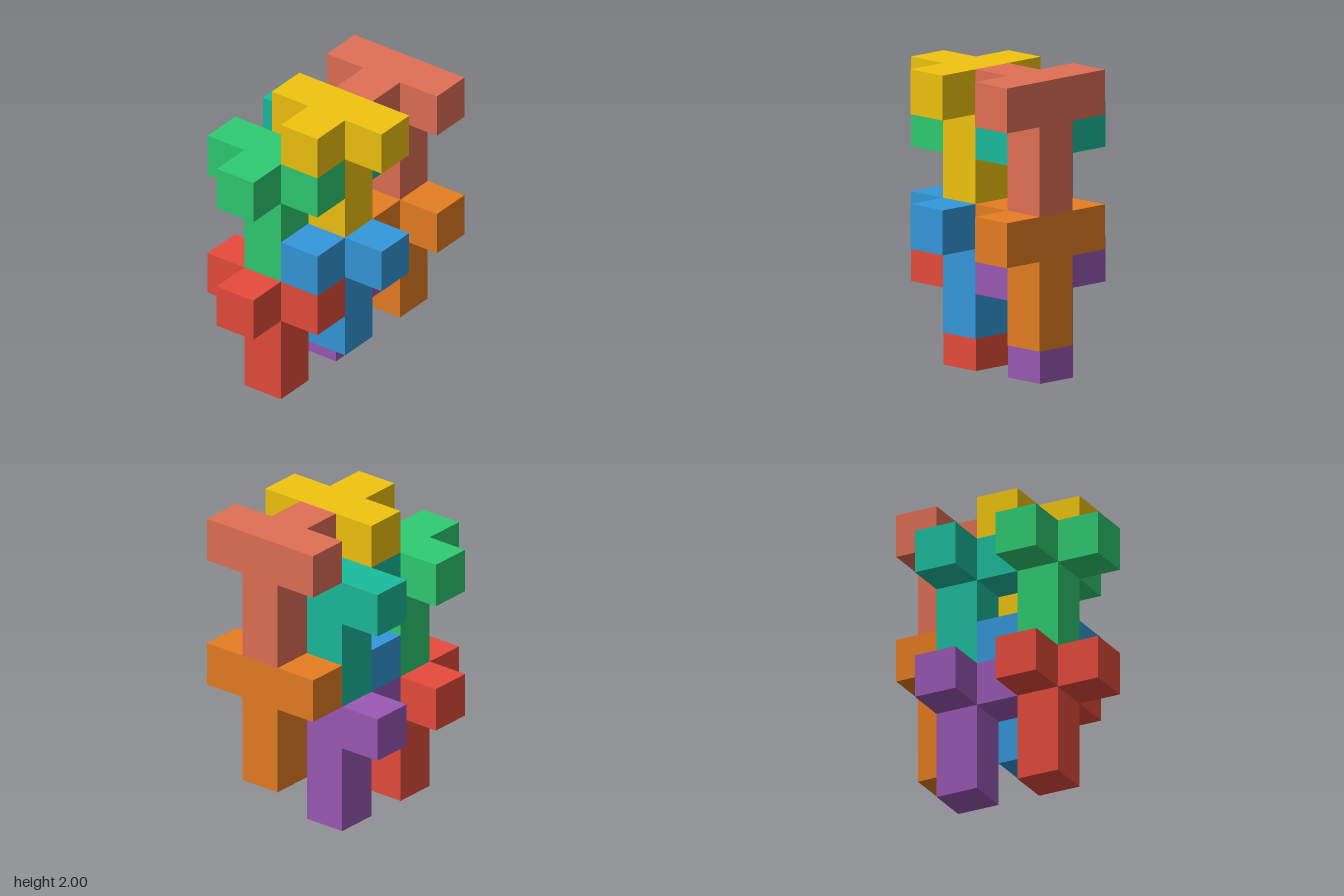
import * as THREE from 'three';

const U = 2 / 7; // one cube cell

// T-shaped head, seen from above: a bar along z with one arm toward -x
function headGeometry() {
  const h = U / 2;
  const outline = [
    [h, -3 * h], [h, 3 * h], [-h, 3 * h], [-h, h],
    [-3 * h, h], [-3 * h, -h], [-h, -h], [-h, -3 * h],
  ].map(([x, y]) => new THREE.Vector2(x, y));
  const geometry = new THREE.ExtrudeGeometry(new THREE.Shape(outline), { depth: U, bevelEnabled: false });
  return geometry.rotateX(-Math.PI / 2).translate(0, 2 * U, 0);
}

// Two-cell post under the head
function postGeometry() {
  return new THREE.BoxGeometry(U, 2 * U, U).translate(0, U, 0);
}

export function createModel() {
  const model = new THREE.Group();
  model.name = 'interlockingBlocks';
  const head = headGeometry();
  const post = postGeometry();

  // name, colour, column (x), level (y), row (z) in cells
  const pieces = [
    ['redPiece', 0xe74c3c, -1, 0, -0.5],
    ['purplePiece', 0x9b59b6, 1, 0, -0.5],
    ['bluePiece', 0x3498db, 0, 1, 0.5],
    ['orangePiece', 0xe67e22, 2, 1, 0.5],
    ['greenPiece', 0x2ecc71, -1, 3, -0.5],
    ['tealPiece', 0x1abc9c, 1, 3, -0.5],
    ['yellowPiece', 0xf1c40f, 0, 4, 0.5],
    ['salmonPiece', 0xe17055, 2, 4, 0.5],
  ];

  for (const [name, color, x, y, z] of pieces) {
    const piece = new THREE.Group();
    piece.name = name;
    const material = new THREE.MeshStandardMaterial({ color });
    for (const [part, geometry] of [['post', post], ['head', head]]) {
      const mesh = new THREE.Mesh(geometry, material);
      mesh.name = part;
      piece.add(mesh);
    }
    piece.position.set(x * U, y * U, z * U);
    model.add(piece);
  }
  return model;
}
